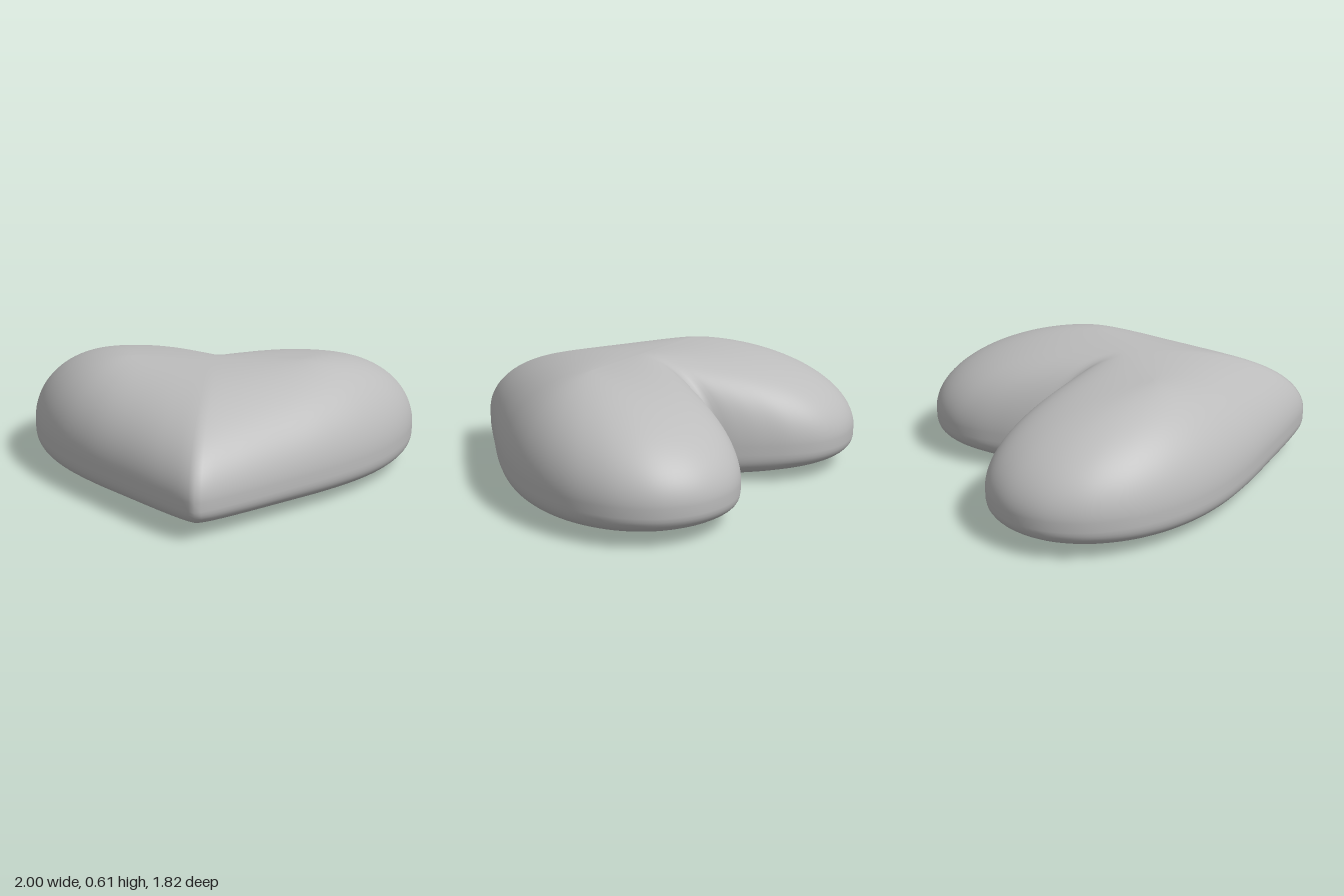
import * as THREE from 'three';

// Half outline of the heart as (x, z), from the tip round the lobe to the notch
const HALF = [
  [0, 0.91], [0.045, 0.885], [0.18, 0.77], [0.385, 0.575], [0.6, 0.365], [0.78, 0.155],
  [0.9, -0.04], [0.975, -0.24], [1, -0.43], [0.97, -0.62], [0.88, -0.775], [0.73, -0.88],
  [0.55, -0.915], [0.4, -0.885], [0.27, -0.8], [0.16, -0.68], [0.08, -0.57], [0.025, -0.482], [0, -0.465],
];

// Full outline, mirrored in x, with 2 * n points
function heartOutline(n) {
  const curve = new THREE.CatmullRomCurve3(HALF.map(([x, z]) => new THREE.Vector3(x, 0, z)));
  const right = curve.getSpacedPoints(n);
  const left = right.slice(1, n).reverse().map((p) => new THREE.Vector3(-p.x, 0, p.z));
  return [...right, ...left];
}

// Heights of the domed top and shallow underside; t runs from the spine (0) to the rim (1)
const RIM = 0.195;
const topHeight = (t) => RIM + (0.61 - RIM) * Math.pow(1 - t * t, 0.52);
const bottomHeight = (t) => RIM * (1 - Math.pow(1 - t * t, 0.25));

// Each rim point is joined to a short crosswise spine in the middle
const SPINE_Z = -0.07;
const spineX = (x) => 0.42 * Math.sin(x * Math.PI / 2);

function pillowGeometry() {
  const outline = heartOutline(100);
  const count = outline.length;
  const rings = 30;
  const positions = [];
  const indices = [];

  // Loops spread from the spine on top to the rim, then back underneath
  for (let r = 0; r <= 2 * rings; r++) {
    const t = r === rings ? 1 : Math.sin((r / rings) * Math.PI / 2);
    const y = r <= rings ? topHeight(t) : bottomHeight(t);
    for (const p of outline) {
      positions.push(
        THREE.MathUtils.lerp(spineX(p.x), p.x, t), y, THREE.MathUtils.lerp(SPINE_Z, p.z, t),
      );
    }
  }
  for (let r = 0; r < 2 * rings; r++) {
    for (let i = 0; i < count; i++) {
      const j = (i + 1) % count;
      const a = r * count + i, b = a + count;
      const c = (r + 1) * count + j, d = r * count + j;
      indices.push(a, b, c, a, c, d);
    }
  }
  const geometry = new THREE.BufferGeometry();
  geometry.setAttribute('position', new THREE.Float32BufferAttribute(positions, 3));
  geometry.setIndex(indices);
  geometry.computeVertexNormals();
  return geometry;
}

export function createModel() {
  const grey = new THREE.MeshStandardMaterial({ color: 0xbcbcbc });
  grey.name = 'grey';

  const heart = new THREE.Mesh(pillowGeometry(), grey);
  heart.name = 'heart';

  const group = new THREE.Group();
  group.name = 'puffyHeart';
  group.add(heart);
  return group;
}
